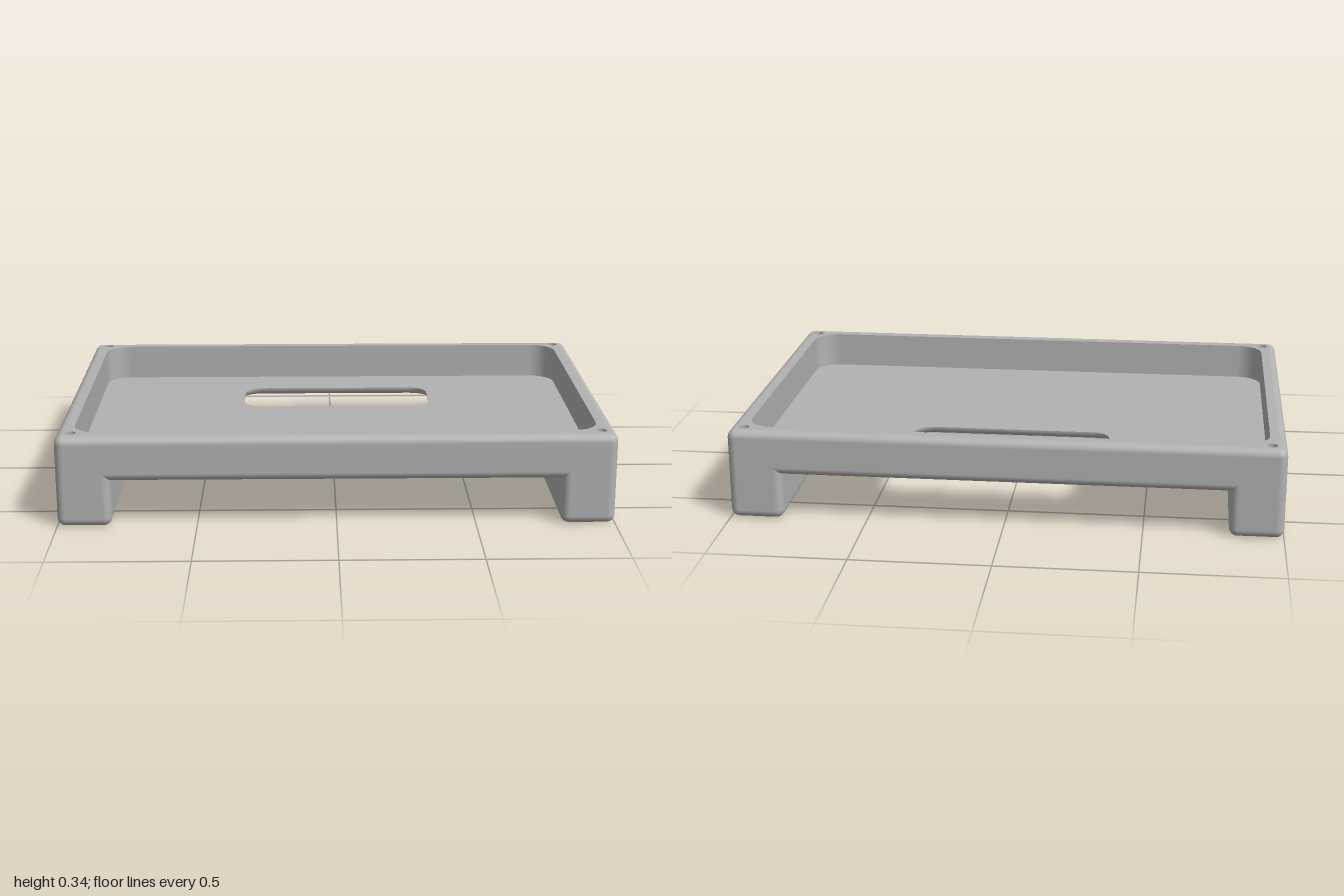
import * as THREE from 'three';

const ROUND = 0.03; // edge rounding used all over
const STEPS = 6;

// Rectangle in plan: r0 rounds the corners at z0, r1 those at z1
const rect = (x0, x1, z0, z1, r0, r1 = r0) => ({ x0, x1, z0, z1, r0, r1 });

// Outline points of a rounded rectangle, shrunk by inset
function outline({ x0, x1, z0, z1, r0, r1 }, inset = 0) {
  const corners = [
    [x1 - r1, z1 - r1, r1], [x0 + r1, z1 - r1, r1],
    [x0 + r0, z0 + r0, r0], [x1 - r0, z0 + r0, r0],
  ];
  const points = [];
  corners.forEach(([cx, cz, r], c) => {
    for (let i = 0; i <= STEPS; i++) {
      const a = (c + i / STEPS) * Math.PI / 2;
      points.push({ x: cx + (r - inset) * Math.cos(a), z: cz + (r - inset) * Math.sin(a), a });
    }
  });
  return points;
}

// Vertical wall around a rectangle; rows are { y, inset, tilt }
function wall(area, rows, inward = false) {
  const pos = [], nor = [], index = [];
  const s = inward ? -1 : 1;
  let n = 0;
  rows.forEach(({ y, inset = 0, tilt = 0 }) => {
    const ring = outline(area, inset);
    n = ring.length;
    ring.forEach(p => {
      pos.push(p.x, y, p.z);
      nor.push(s * Math.cos(p.a) * Math.cos(tilt), Math.sin(tilt), s * Math.sin(p.a) * Math.cos(tilt));
    });
  });
  for (let j = 0; j < rows.length - 1; j++) {
    for (let i = 0; i < n; i++) {
      const a = j * n + i, b = j * n + (i + 1) % n, c = a + n, d = b + n;
      if (inward) index.push(a, b, c, b, d, c);
      else index.push(a, c, b, b, c, d);
    }
  }
  const g = new THREE.BufferGeometry();
  g.setAttribute('position', new THREE.Float32BufferAttribute(pos, 3));
  g.setAttribute('normal', new THREE.Float32BufferAttribute(nor, 3));
  g.setIndex(index);
  return g;
}

// Rows of a quarter round at the bottom (from y upwards) or at the top (ending at y)
function roundRows(y, top) {
  return Array.from({ length: STEPS + 1 }, (_, i) => {
    const tilt = (top ? i / STEPS : i / STEPS - 1) * Math.PI / 2;
    const base = top ? y - ROUND : y + ROUND;
    return { y: base + ROUND * Math.sin(tilt), inset: ROUND * (1 - Math.cos(tilt)), tilt };
  });
}

// Flat horizontal face with holes
function cap(area, y, up, holes = [], inset = 0) {
  const points = (r, d) => outline(r, d).map(p => new THREE.Vector2(p.x, up ? -p.z : p.z));
  const simple = [
    [area.x0 + inset, area.z0 + inset], [area.x1 - inset, area.z0 + inset],
    [area.x1 - inset, area.z1 - inset], [area.x0 + inset, area.z1 - inset],
  ].map(([x, z]) => new THREE.Vector2(x, up ? -z : z));
  const shape = new THREE.Shape(inset ? simple : points(area, 0));
  holes.forEach(h => shape.holes.push(new THREE.Path(points(h, 0))));
  return new THREE.ShapeGeometry(shape).rotateX(up ? -Math.PI / 2 : Math.PI / 2).translate(0, y, 0);
}

export function createModel() {
  const model = new THREE.Group();
  model.name = 'trayStand';
  const grey = new THREE.MeshStandardMaterial({ color: 0xb2b2b2 });
  grey.name = 'grey';
  const add = (parent, name, geometry) => {
    const mesh = new THREE.Mesh(geometry, grey);
    mesh.name = name;
    parent.add(mesh);
  };
  const group = name => {
    const g = new THREE.Group();
    g.name = name;
    model.add(g);
    return g;
  };

  const TOP = 0.335, FLOOR = 0.2, UNDER = 0.17, HALF_Z = 0.67;
  const body = rect(-1, 1, -HALF_Z, HALF_Z, ROUND);
  const recess = rect(-0.94, 0.94, -0.61, 0.605, 0.09);
  const opening = rect(-0.355, 0.39, -0.43, -0.165, 0.065);
  const openingBelow = rect(-0.385, 0.42, -0.46, -0.135, 0.095);
  const screwHoles = [];
  for (const x of [-0.945, 0.945])
    for (const z of [-0.62, 0.61])
      screwHoles.push(rect(x - 0.019, x + 0.019, z - 0.019, z + 0.019, 0.019));

  // Tray: outer shell, rim, recess and floor
  const tray = group('tray');
  add(tray, 'outerWall', wall(body, [...roundRows(UNDER, false), ...roundRows(TOP, true)]));
  add(tray, 'rim', cap(body, TOP, true, [recess, ...screwHoles], ROUND));
  add(tray, 'recessWall', wall(recess, [{ y: FLOOR }, { y: TOP }], true));
  add(tray, 'floor', cap(recess, FLOOR, true, [opening]));
  add(tray, 'underside', cap(body, UNDER, false, [openingBelow], ROUND));

  // Opening in the floor, flared towards the underside
  const flare = roundRows(UNDER, false).map(r => ({ ...r, inset: -r.inset }));
  add(tray, 'openingWall', wall(opening, flare, true));

  // Blind screw holes in the rim corners
  screwHoles.forEach(hole => {
    add(tray, 'screwHoleWall', wall(hole, [{ y: 0.235 }, { y: TOP }], true));
    add(tray, 'screwHoleBottom', cap(hole, 0.235, true));
  });

  // Legs: a rounded foot bar with two posts that leave a hand slot between them
  for (const side of [1, -1]) {
    const leg = group(side > 0 ? 'leftLeg' : 'rightLeg');
    const [x0, x1] = side > 0 ? [0.805, 1] : [-1, -0.805];
    const bar = rect(x0, x1, -HALF_Z, HALF_Z, ROUND);
    const barTop = 0.07;
    add(leg, 'footBar', wall(bar, [...roundRows(0, false), ...roundRows(barTop, true)]));
    add(leg, 'footBottom', cap(bar, 0, false, [], ROUND));
    add(leg, 'slotBottom', cap(bar, barTop, true, [], ROUND));
    const postRows = [{ y: barTop - ROUND }, { y: FLOOR }];
    add(leg, 'frontPost', wall(rect(x0, x1, 0.29, HALF_Z, 0, ROUND), postRows));
    add(leg, 'backPost', wall(rect(x0, x1, -HALF_Z, -0.285, ROUND, 0), postRows));
  }
  return model;
}
